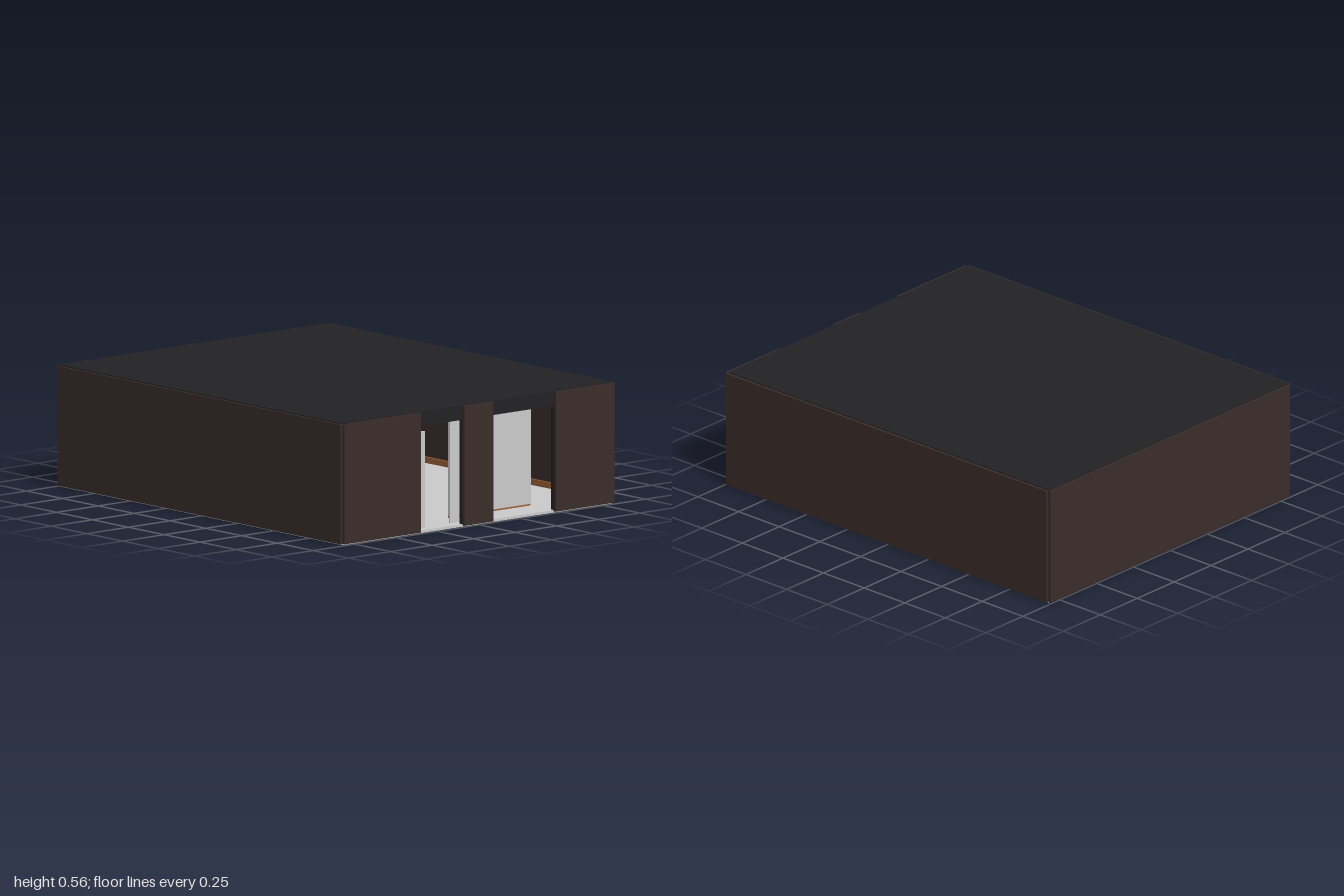
import * as THREE from 'three';

const mat = (color) => new THREE.MeshStandardMaterial({ color, roughness: 0.9 });

export function createModel() {
  const model = new THREE.Group();
  const brown = mat(0x3a2d2a), dark = mat(0x222225), grey = mat(0xcccccc), wood = mat(0x9a6236);

  // Box given by its extents along each axis
  const block = (name, [x0, x1], [y0, y1], [z0, z1], material) => {
    const mesh = new THREE.Mesh(new THREE.BoxGeometry(x1 - x0, y1 - y0, z1 - z0), material);
    mesh.position.set((x0 + x1) / 2, (y0 + y1) / 2, (z0 + z1) / 2);
    mesh.name = name;
    model.add(mesh);
  };

  const wallY = [0.006, 0.56];

  // Floor and roof slabs
  block('floor', [-0.81, 0.81], [0, 0.012], [-0.985, 0.985], grey);
  block('roof', [-0.812, 0.812], [0.495, 0.565], [-0.99, 0.984], dark);

  // Outer walls
  for (const s of [-1, 1]) {
    const x = s < 0 ? [-0.825, -0.81] : [0.81, 0.825];
    block('sideWall', x, wallY, [-0.988, 0.988], brown);
  }
  block('backWall', [-0.812, 0.812], wallY, [-1, -0.985], brown);

  // Front panels, leaving a doorway and a shop window open
  const panels = [[-0.812, -0.35], [-0.09, 0.085], [0.46, 0.812]];
  for (const x of panels) {
    block('frontPanel', x, wallY, [0.984, 1], brown);
    block('frontPanelLining', x, [0.012, 0.495], [0.965, 0.984], dark);
  }

  // Door side lights
  for (const x of [[-0.35, -0.295], [-0.145, -0.09]]) {
    block('doorSideLight', x, [0.02, 0.465], [0.955, 0.963], grey);
  }

  // Display screen behind the window
  block('displayScreen', [-0.03, 0.457], [0.02, 0.48], [0.815, 0.83], grey);
  block('displayScreenFoot', [-0.03, 0.457], [0.012, 0.02], [0.815, 0.828], wood);

  // Cabinet on a wooden plinth at the rear
  block('cabinet', [-0.4, -0.05], [0.022, 0.38], [-0.96, -0.8], grey);
  block('cabinetPlinth', [-0.4, -0.05], [0.012, 0.022], [-0.96, -0.795], wood);

  // Skirting along the inner walls
  for (const x of [[-0.81, -0.8], [0.8, 0.81]]) {
    block('sideSkirting', x, [0.012, 0.04], [-0.985, 0.965], wood);
  }
  block('backSkirting', [-0.8, 0.8], [0.012, 0.022], [-0.985, -0.975], wood);

  return model;
}
